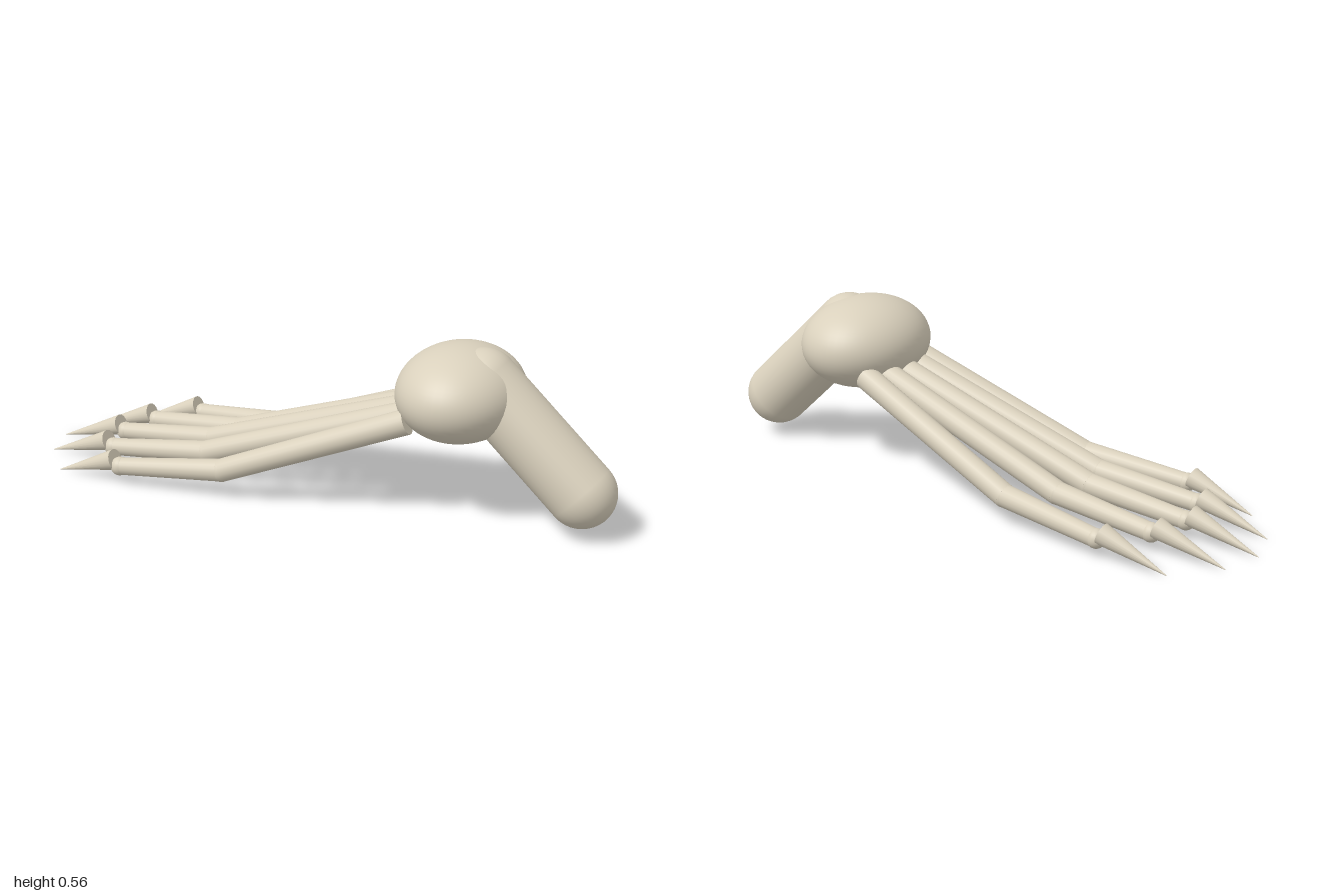
import * as THREE from 'three';

const bone = new THREE.MeshStandardMaterial({ color: 0xd9d0bc });
bone.name = 'bone beige';

const V = (x, y, z) => new THREE.Vector3(x, y, z);

function add(group, name, geometry, position) {
  const mesh = new THREE.Mesh(geometry, bone);
  mesh.name = name;
  mesh.position.copy(position);
  group.add(mesh);
  return mesh;
}

// tapered round rod from a (radius ra) to b (radius rb)
function rod(group, name, a, b, ra, rb) {
  const dir = b.clone().sub(a);
  const mesh = add(group, name, new THREE.CylinderGeometry(rb, ra, dir.length(), 20),
    a.clone().lerp(b, 0.5));
  mesh.quaternion.setFromUnitVectors(V(0, 1, 0), dir.normalize());
}

function ball(group, name, p, r) {
  return add(group, name, new THREE.SphereGeometry(r, 20, 14), p);
}

// one finger: long bone, bent knuckle, short bone and pointed claw
function finger(name, root, knuckle, end, clawBase, tip) {
  const g = new THREE.Group();
  g.name = name;
  rod(g, 'longBone', root, knuckle, 0.041, 0.038);
  ball(g, 'knuckle', knuckle, 0.038);
  rod(g, 'shortBone', knuckle, end, 0.037, 0.029);
  ball(g, 'clawJoint', end, 0.031);
  rod(g, 'claw', clawBase, tip, 0.035, 0.001);
  return g;
}

export function createModel() {
  const model = new THREE.Group();
  model.name = 'clawedFoot';

  // flattened round palm
  const palm = add(model, 'palm', new THREE.SphereGeometry(1, 48, 32), V(0.487, 0.415, 0));
  palm.scale.set(0.2, 0.151, 0.239);

  // rounded wrist sloping down behind the palm
  const top = V(0.56, 0.455, 0), low = V(0.89, 0.15, 0);
  const dir = low.clone().sub(top);
  const wrist = add(model, 'wrist', new THREE.CapsuleGeometry(0.11, dir.length(), 12, 32),
    top.clone().lerp(low, 0.5));
  wrist.quaternion.setFromUnitVectors(V(0, 1, 0), dir.normalize());

  // root x, root z, knuckle x, knuckle z, end x, end z, tip x, tip z
  const fingers = [
    ['middleFinger', 0.34, 0, -0.4, 0, -0.75, 0, -1, 0],
    ['innerFinger', 0.35, 0.075, -0.36, 0.118, -0.71, 0.14, -0.96, 0.135],
    ['outerFinger', 0.37, 0.148, -0.24, 0.232, -0.6, 0.274, -0.84, 0.271],
  ];
  for (const [name, rx, rz, kx, kz, ex, ez, tx, tz] of fingers) {
    for (const s of rz ? [1, -1] : [1]) {
      model.add(finger(name, V(rx, 0.345, s * rz), V(kx, 0.1, s * kz), V(ex, 0.063, s * ez),
        V(ex - 0.018, 0.083, s * ez), V(tx, 0.005, s * tz)));
    }
  }
  return model;
}
